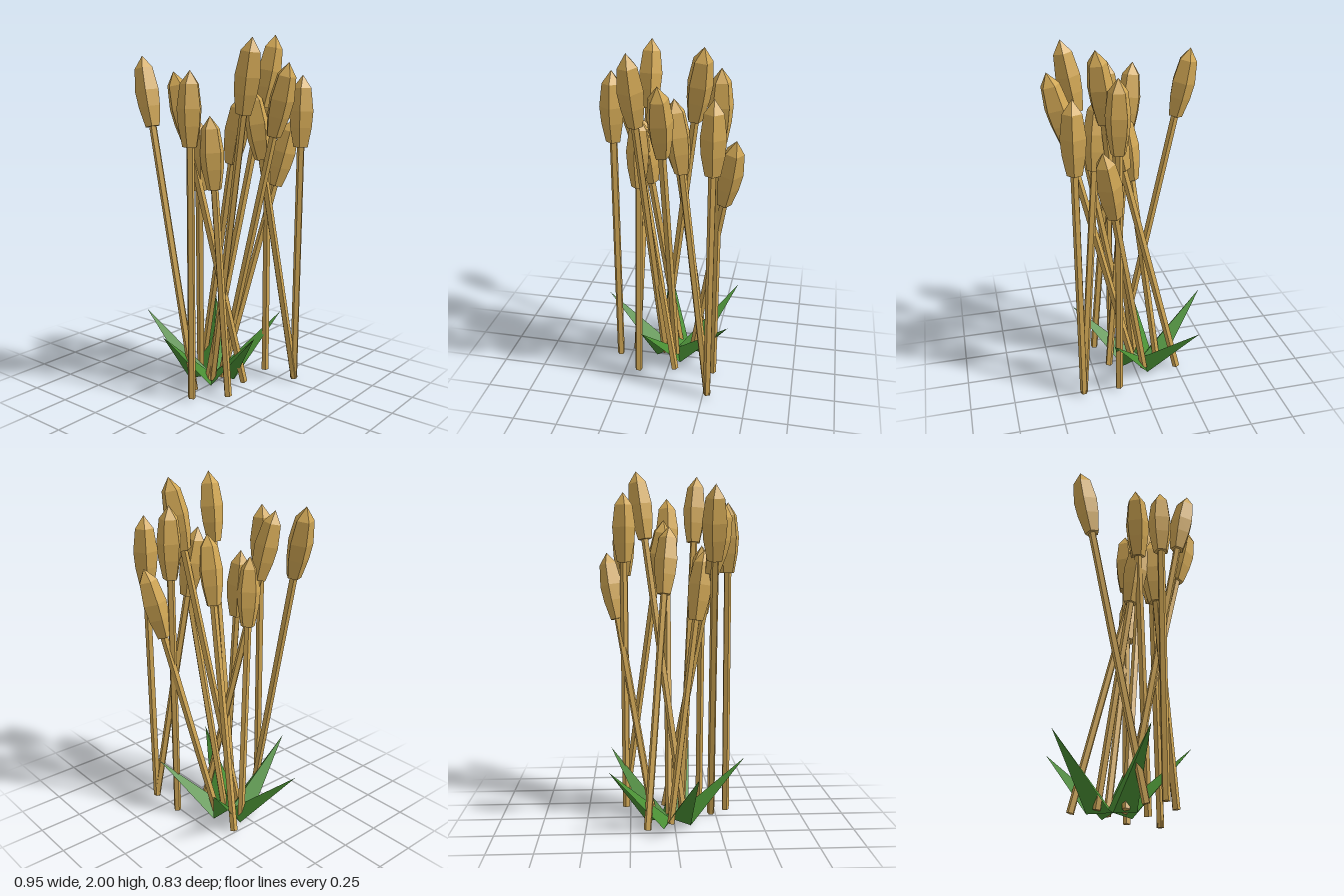
import * as THREE from 'three';

const straw = new THREE.MeshStandardMaterial({ color: 0xd2a855 });
straw.name = 'straw';
const leafGreen = new THREE.MeshStandardMaterial({ color: 0x4a9034, side: THREE.DoubleSide });
leafGreen.name = 'leafGreen';

const UP = new THREE.Vector3(0, 1, 0);

// Each reed: stalk base [x, z], head underside [x, y, z], twist of the head
const REEDS = [
  [[0.06, 0.312], [0.063, 1.42, 0.312], 0],
  [[0.0, 0.22], [-0.31, 1.5, 0.2], 0.3],
  [[0.15, -0.045], [-0.03, 1.42, 0.21], 0.9],
  [[-0.155, -0.02], [-0.035, 1.16, 0.125], 0.5],
  [[0.2, 0.165], [0.105, 1.18, 0.165], 1.1],
  [[-0.01, 0.045], [0.275, 1.59, 0.135], 0.2],
  [[0.0, -0.025], [0.355, 1.47, -0.02], 0.7],
  [[-0.245, -0.155], [0.055, 1.3, -0.05], 0.4],
  [[0.35, -0.275], [0.225, 1.33, -0.1], 1.0],
  [[-0.03, 0.06], [0.18, 1.61, -0.155], 0.6],
  [[0.35, -0.275], [0.362, 1.39, -0.28], 0.1],
  [[0.14, -0.275], [0.135, 1.48, -0.28], 0.8],
  [[-0.05, -0.12], [0.165, 1.15, -0.315], 0.35],
];

// Five-sided faceted seed head, underside at the origin
function headGeometry() {
  const profile = [[0, 0], [0.042, 0], [0.063, 0.11], [0.07, 0.2], [0.053, 0.325], [0, 0.395]];
  const lathe = new THREE.LatheGeometry(profile.map(([r, y]) => new THREE.Vector2(r, y)), 5);
  const flat = lathe.toNonIndexed();
  flat.computeVertexNormals();
  return flat;
}

// Five-pointed star of ridged leaves bending upward from a flat centre
function leafGeometry() {
  const polar = (r, a, y) => [r * Math.sin(a), y, r * Math.cos(a)];
  const step = Math.PI / 5;
  const points = [];
  for (let i = 0; i < 5; i++) {
    const a = i * 2 * step;
    const centre = [0, 0.012, 0];
    const tip = polar(0.425, a, 0.37);
    points.push(centre, polar(0.138, a - step, 0), tip);
    points.push(centre, tip, polar(0.138, a + step, 0));
  }
  const geo = new THREE.BufferGeometry();
  geo.setAttribute('position', new THREE.Float32BufferAttribute(points.flat(), 3));
  geo.computeVertexNormals();
  return geo;
}

function makeReed([base, top, twist], headGeo) {
  const reed = new THREE.Group();
  reed.name = 'reed';
  const start = new THREE.Vector3(base[0], 0.022, base[1]);
  const axis = new THREE.Vector3(...top).sub(start);
  const length = axis.length();
  reed.position.copy(start);
  reed.quaternion.setFromUnitVectors(UP, axis.normalize());

  // Thin five-sided stalk
  const stalkGeo = new THREE.CylinderGeometry(0.022, 0.022, length + 0.01, 5).toNonIndexed();
  stalkGeo.computeVertexNormals();
  const stalk = new THREE.Mesh(stalkGeo, straw);
  stalk.name = 'stalk';
  stalk.position.y = length / 2;
  stalk.rotation.y = twist;

  // Seed head continues along the stalk
  const head = new THREE.Mesh(headGeo, straw);
  head.name = 'seedHead';
  head.position.y = length;
  head.rotation.y = Math.PI / 2 + twist;

  reed.add(stalk, head);
  return reed;
}

export function createModel() {
  const model = new THREE.Group();
  model.name = 'reedClump';

  const headGeo = headGeometry();
  for (const spec of REEDS) model.add(makeReed(spec, headGeo));

  const leaves = new THREE.Mesh(leafGeometry(), leafGreen);
  leaves.name = 'baseLeaves';
  leaves.position.set(-0.065, 0, -0.02);
  model.add(leaves);

  return model;
}
